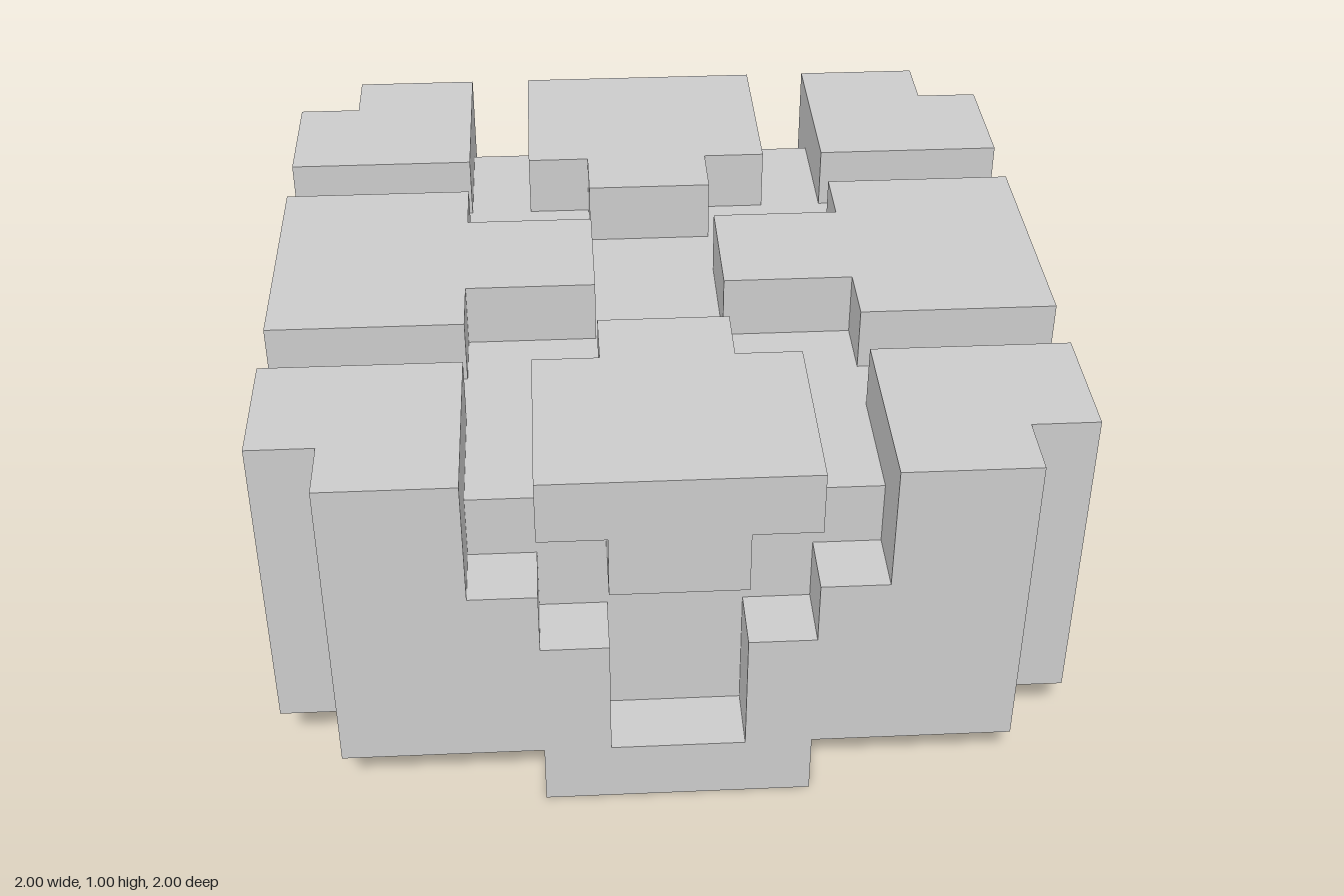
import * as THREE from 'three';

const U = 1 / 6; // one block of the 12 x 6 x 12 block grid
const material = new THREE.MeshStandardMaterial({ color: 0xcccccc, flatShading: true });

// One-block-thick slab from an outline given in block units
function slab(points) {
  const shape = new THREE.Shape(points.map(([a, b]) => new THREE.Vector2(a * U, b * U)));
  return new THREE.ExtrudeGeometry(shape, { depth: U, bevelEnabled: false });
}

// Upright slab on the front face
const wall = (points) => slab(points).translate(0, 0, 5 * U);

// Flat slab on the top face, outline in x and z
const cap = (points) => slab(points).rotateX(Math.PI / 2).translate(0, 6 * U, 0);

// Completes a half outline (x > 0) with its mirror image
const mirrored = (half) => [...half, ...half.map(([x, y]) => [-x, y]).reverse()];

export function createModel() {
  const model = new THREE.Group();
  const add = (parent, name, geometry) => {
    const mesh = new THREE.Mesh(geometry, material);
    mesh.name = name;
    parent.add(mesh);
  };

  add(model, 'core', new THREE.BoxGeometry(10 * U, 5 * U, 10 * U).translate(0, 2.5 * U, 0));

  // Stepped V-shaped wall with its foot, and the tooth hanging in the V
  const wallGeometry = wall(mirrored([
    [2, 0], [2, 1], [5, 1], [5, 5], [3, 5], [3, 4], [2, 4], [2, 3], [1, 3], [1, 1],
  ]));
  const toothGeometry = wall(mirrored([[1, 4], [1, 5]]));

  // Notched corner cap
  const cornerGeometry = cap([[3, 3], [6, 3], [6, 5], [5, 5], [5, 6], [3, 6]]);

  const names = ['front', 'left', 'back', 'right'];
  names.forEach((name, i) => {
    const side = new THREE.Group();
    side.name = name + 'Side';
    side.rotation.y = i * Math.PI / 2;
    add(side, 'steppedWall', wallGeometry);
    add(side, 'tooth', toothGeometry);
    add(side, 'cornerCap', cornerGeometry);

    // T-shaped middle cap; its stem reaches further in on the left and right
    const reach = i % 2 ? 1 : 2;
    add(side, 'middleCap', cap(mirrored([[1, reach], [1, 3], [2, 3], [2, 6]])));
    model.add(side);
  });

  return model;
}
